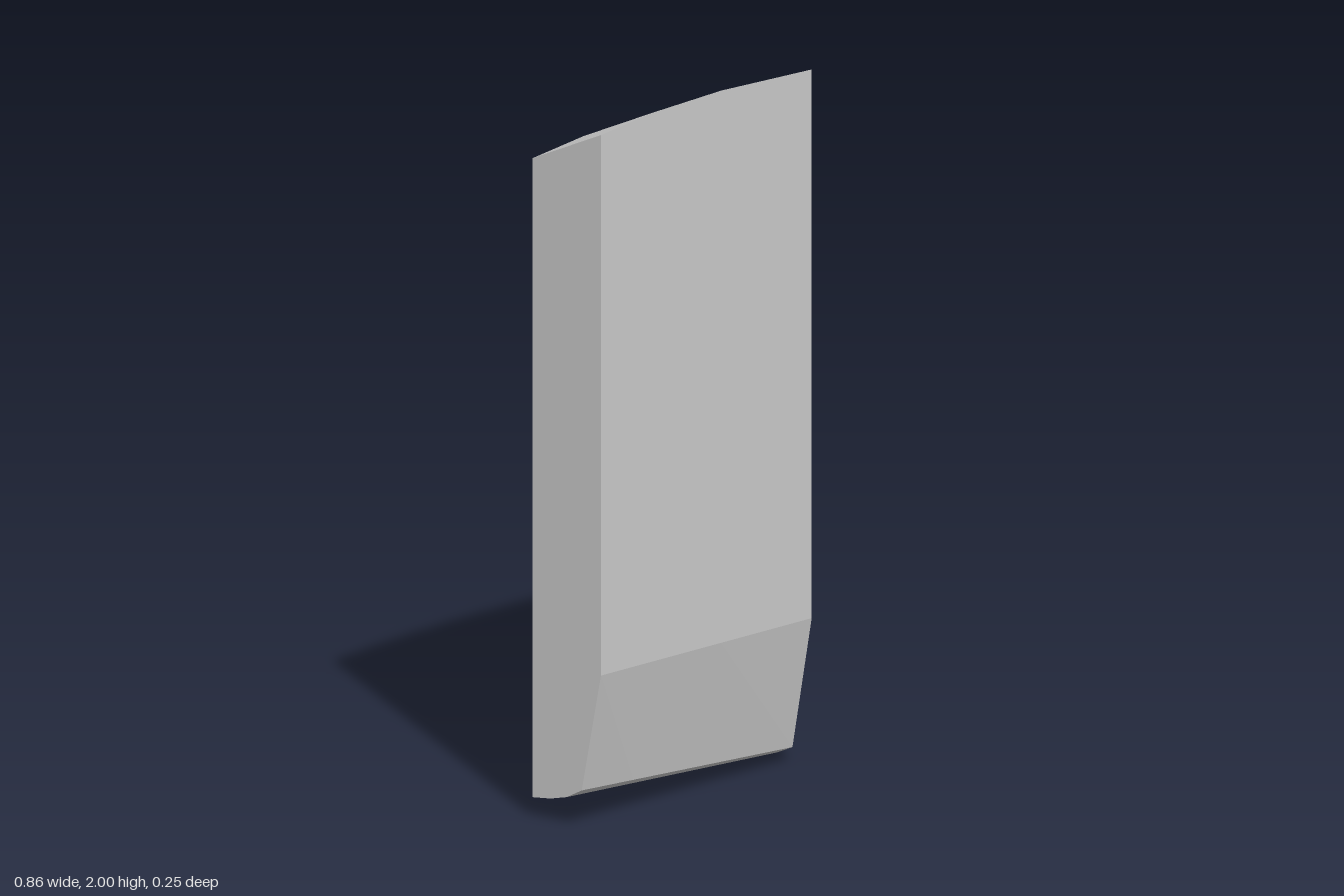
import * as THREE from 'three';

// Cross-sections run along x. Lower edge is linear between the two ends,
// upper edge is gently arched and slopes down toward the back.
const HALF_DEPTH = 0.125;
const ENDS = { left: [0.45, 0.11, 0.08, 0.064, 0.055], right: [0.42, 0.04, 0.014, 0.005, 0] };
const LOWER_Z = [HALF_DEPTH, 0.055, 0, -0.06, -HALF_DEPTH];
// x, top height at the front, top height at the back
const STATIONS = [
  [-0.43, 1.984, 1.868],
  [-0.22, 2.0, 1.884],
  [0.06, 2.0, 1.882],
  [0.43, 1.977, 1.845],
];

// Closed outline: back top, front top, bevel, rounded foot, back bottom
function section([x, frontTop, backTop]) {
  const t = (x + 0.43) / 0.86;
  const lower = LOWER_Z.map((z, i) =>
    [x, THREE.MathUtils.lerp(ENDS.left[i], ENDS.right[i], t), z]);
  return [[x, backTop, -HALF_DEPTH], [x, frontTop, HALF_DEPTH], ...lower];
}

function loft(rings) {
  const positions = [];
  const tri = (a, b, c) => positions.push(...a, ...b, ...c);
  const n = rings[0].length;
  // Skin
  for (let s = 0; s < rings.length - 1; s++) {
    const A = rings[s], B = rings[s + 1];
    for (let i = 0; i < n; i++) {
      const j = (i + 1) % n;
      tri(A[i], A[j], B[j]);
      tri(A[i], B[j], B[i]);
    }
  }
  // End caps
  const first = rings[0], last = rings[rings.length - 1];
  for (let i = 1; i < n - 1; i++) {
    tri(last[0], last[i], last[i + 1]);
    tri(first[0], first[i + 1], first[i]);
  }
  const geometry = new THREE.BufferGeometry();
  geometry.setAttribute('position', new THREE.Float32BufferAttribute(positions, 3));
  geometry.computeVertexNormals();
  return geometry;
}

export function createModel() {
  const group = new THREE.Group();
  group.name = 'bevelledSlab';
  const material = new THREE.MeshStandardMaterial({ color: 0xcccccc, flatShading: true });
  const slab = new THREE.Mesh(loft(STATIONS.map(section)), material);
  slab.name = 'slab';
  group.add(slab);
  return group;
}
